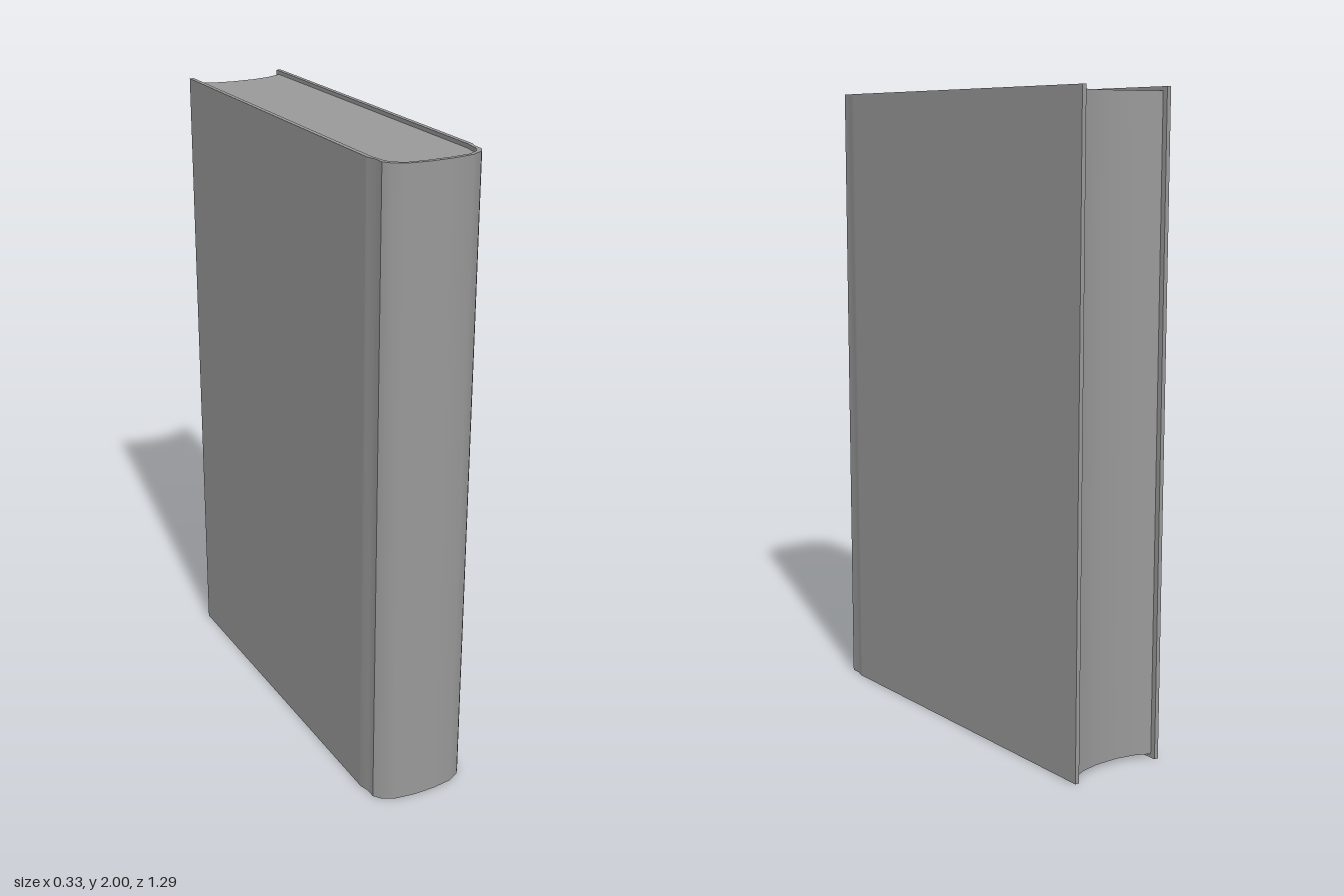
import * as THREE from 'three';
import { toCreasedNormals } from 'three/addons/utils/BufferGeometryUtils.js';

const HEIGHT = 2;
const RECESS = 0.012; // pages sit slightly inside the cover at top and bottom
const BACK = -0.644;

// Half outlines [x, z], from the board's joint round to the middle of the spine
const OUTER = [[0.163, 0.52], [0.163, 0.53], [0.154, 0.558], [0.154, 0.592], [0.138, 0.614], [0.1, 0.635], [0.035, 0.644]];
const INNER = [[0.149, 0.53], [0.144, 0.556], [0.142, 0.58], [0.127, 0.605], [0.095, 0.624], [0.035, 0.63]];
const FORE_EDGE = [[0.149, -0.627], [0.1, -0.605], [0.04, -0.593]];

// Complete a half outline with its mirror image, running from +x to -x
const mirrored = (half) => [...half, ...half.map(([x, z]) => [-x, z]).reverse()];

// Extrude an [x, z] outline upwards from y = bottom
function upright(name, outline, bottom, height, material) {
  const shape = new THREE.Shape(outline.map(([x, z]) => new THREE.Vector2(x, -z)));
  let geometry = new THREE.ExtrudeGeometry(shape, { depth: height, bevelEnabled: false });
  geometry.rotateX(-Math.PI / 2);
  geometry.translate(0, bottom, 0);
  geometry = toCreasedNormals(geometry, THREE.MathUtils.degToRad(32));
  const mesh = new THREE.Mesh(geometry, material);
  mesh.name = name;
  return mesh;
}

export function createModel() {
  const book = new THREE.Group();
  book.name = 'book';
  const material = new THREE.MeshStandardMaterial({ color: 0x999999 });

  // Cover: two boards joined by a rounded spine
  const outside = mirrored([[0.163, BACK], ...OUTER]);
  const inside = mirrored([[0.149, BACK], ...INNER]).reverse();
  book.add(upright('cover', [...outside, ...inside], 0, HEIGHT, material));

  // Page block: rounded at the spine, hollow at the fore edge
  const pages = [...mirrored(INNER), ...mirrored(FORE_EDGE).reverse()];
  book.add(upright('pageBlock', pages, RECESS, HEIGHT - 2 * RECESS, material));

  return book;
}
